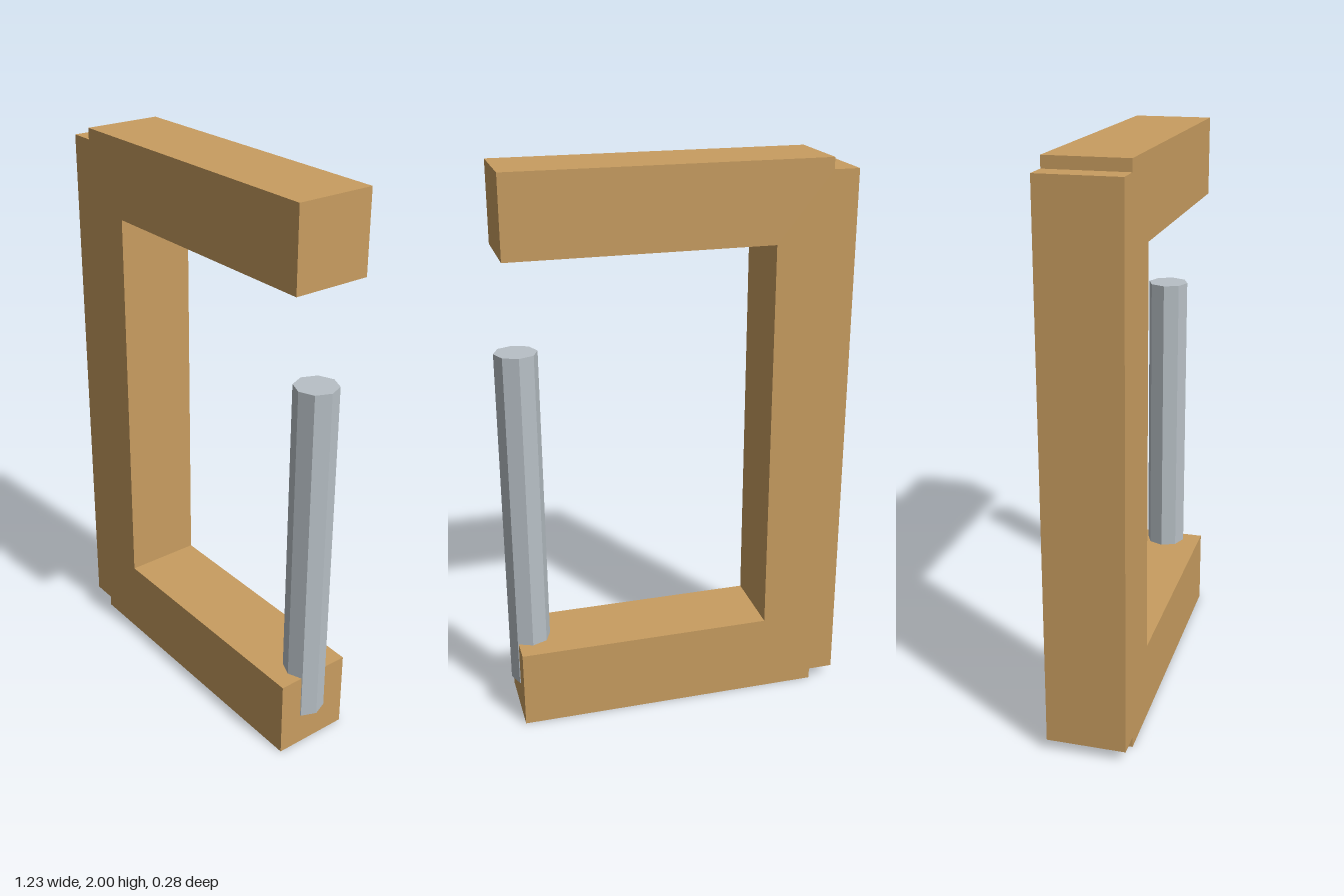
import * as THREE from 'three';

export function createModel() {
  const model = new THREE.Group();
  const wood = new THREE.MeshStandardMaterial({ color: 0xc89d60 });
  wood.name = 'wood';
  const metal = new THREE.MeshStandardMaterial({ color: 0xb8c0c6 });
  metal.name = 'metal';

  // C-shaped frame: upright post with two arms, slightly stepped at the outer corners
  const depth = 0.28;
  const outline = [
    [-0.615, 0.04], [-0.525, 0.04], [-0.525, 0], [0.585, 0], [0.585, 0.285], [-0.333, 0.285],
    [-0.333, 1.72], [0.585, 1.72], [0.585, 2], [-0.525, 2], [-0.525, 1.96], [-0.615, 1.96],
  ].map(([x, y]) => new THREE.Vector2(x, y));
  const frameGeometry = new THREE.ExtrudeGeometry(new THREE.Shape(outline), { depth, bevelEnabled: false });
  frameGeometry.translate(0, 0, -depth / 2);
  const frame = new THREE.Mesh(frameGeometry, wood);
  frame.name = 'frame';

  // Eight-sided rod sunk into the end of the lower arm
  const bottom = 0.12, top = 1.38;
  const rodGeometry = new THREE.CylinderGeometry(0.075, 0.075, top - bottom, 8).toNonIndexed();
  rodGeometry.computeVertexNormals();
  const rod = new THREE.Mesh(rodGeometry, metal);
  rod.name = 'rod';
  rod.position.set(0.535, (bottom + top) / 2, 0);

  model.add(frame, rod);
  return model;
}
